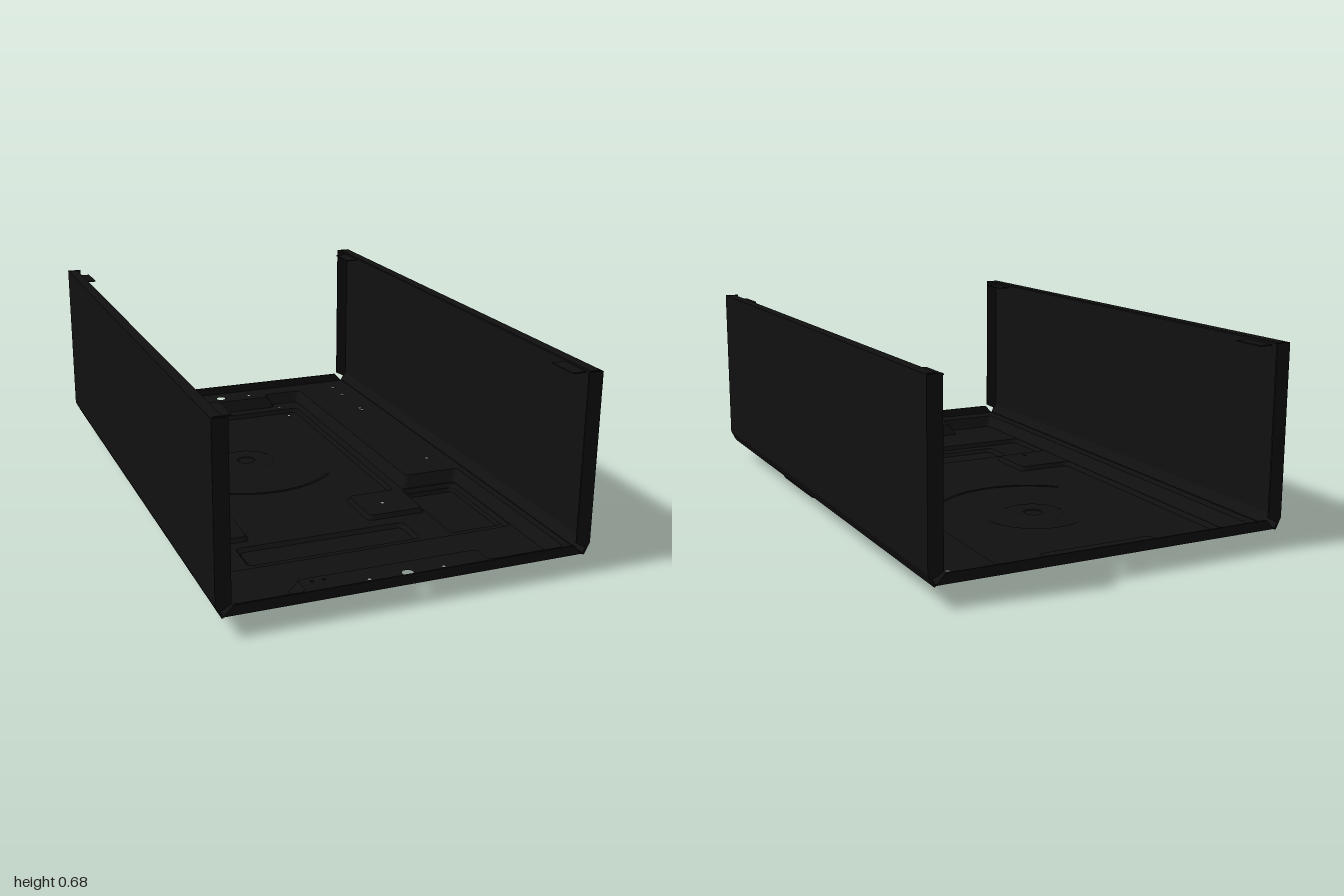
import * as THREE from 'three';

const black = new THREE.MeshStandardMaterial({ color: 0x101010, side: THREE.DoubleSide });
black.name = 'blackSheetMetal';

export function createModel() {
  const model = new THREE.Group();
  model.name = 'chassisTray';

  const add = (geometry, name, parent = model) => {
    const mesh = new THREE.Mesh(geometry, black);
    mesh.name = name;
    parent.add(mesh);
    return mesh;
  };
  const box = (name, parent, x0, x1, y0, y1, z0, z1) =>
    add(new THREE.BoxGeometry(x1 - x0, y1 - y0, z1 - z0), name, parent)
      .position.set((x0 + x1) / 2, (y0 + y1) / 2, (z0 + z1) / 2);

  // Outlines are functions of an inset, so a pressed step can taper.
  // Right-angled polygon with rounded corners, in (x, z)
  const polygon = (points, r) => (inset) => {
    const n = points.length;
    const p = points.map((q) => new THREE.Vector2(...q));
    const dir = p.map((q, i) => p[(i + 1) % n].clone().sub(q).normalize());
    const moved = p.map((q, i) => {
      const a = dir[(i + n - 1) % n], b = dir[i];
      return new THREE.Vector2(q.x - (a.y + b.y) * inset, q.y + (a.x + b.x) * inset);
    });
    return moved.flatMap((q, i) => {
      const start = q.clone().addScaledVector(dir[(i + n - 1) % n], -r);
      const end = q.clone().addScaledVector(dir[i], r);
      return new THREE.QuadraticBezierCurve(start, q, end).getPoints(4);
    });
  };
  const rect = (x0, x1, z0, z1, r) => polygon([[x0, z0], [x1, z0], [x1, z1], [x0, z1]], r);
  const circle = (x, z, radius, n = 48) => (inset) => Array.from({ length: n }, (_, i) => {
    const a = (i / n) * Math.PI * 2;
    return new THREE.Vector2(x + Math.cos(a) * (radius - inset), z + Math.sin(a) * (radius - inset));
  });
  const hole = ([x, z, r = 0.006]) => circle(x, z, r, 16)(0);

  // Flat sheet with cut-outs, at height y
  const sheet = (name, outline, y, cutouts) => {
    const shape = new THREE.Shape(outline);
    shape.holes = cutouts.map((c) => new THREE.Path(c));
    const g = new THREE.ShapeGeometry(shape);
    g.rotateX(Math.PI / 2).translate(0, y, 0);
    // Turn the faces upward
    const index = g.index.array;
    for (let i = 0; i < index.length; i += 3) [index[i], index[i + 1]] = [index[i + 1], index[i]];
    g.computeVertexNormals();
    add(g, name);
  };

  // Sloped band joining two matching outlines
  const skirt = (name, top, yTop, bottom, yBottom) => {
    const n = top.length, pos = [], index = [];
    for (let i = 0; i <= n; i++) {
      const a = top[i % n], b = bottom[i % n];
      pos.push(a.x, yTop, a.y, b.x, yBottom, b.y);
      if (i < n) index.push(2 * i, 2 * i + 2, 2 * i + 1, 2 * i + 1, 2 * i + 2, 2 * i + 3);
    }
    const g = new THREE.BufferGeometry();
    g.setAttribute('position', new THREE.Float32BufferAttribute(pos, 3));
    g.setIndex(index);
    g.computeVertexNormals();
    add(g, name);
  };

  // Pressed step: sloped band, flat bottom, and any deeper steps inside it
  const press = (step, yTop) => {
    const { name, outline, y, slope, inner = [], holes = [] } = step;
    const bottom = outline(slope);
    skirt(name + 'Edge', outline(0), yTop, bottom, y);
    sheet(name, bottom, y, [...inner.map((s) => s.outline(0)), ...holes.map(hole)]);
    inner.forEach((s) => press(s, y));
  };

  // Floor: rim, pan, and nested recesses
  const rimY = 0.073;
  const fanRecess = {
    name: 'outerRing', outline: circle(-0.09, -0.32, 0.19), y: 0.012, slope: 0.006,
    inner: [{
      name: 'innerRing', outline: circle(-0.09, -0.32, 0.11), y: 0.015, slope: 0.006,
      inner: [{ name: 'ringCentre', outline: circle(-0.09, -0.32, 0.035), y: 0.012, slope: 0.004 }],
    }],
  };
  const lower = {
    name: 'lowerPan', y: 0.014, slope: 0.008,
    outline: polygon([
      [-0.54, -0.81], [0.31, -0.81], [0.31, 0.2], [0.13, 0.2], [0.13, 0.39], [0.335, 0.39],
      [0.335, 0.215], [0.552, 0.215], [0.552, 0.64], [-0.54, 0.64],
      [-0.54, 0.4], [-0.33, 0.4], [-0.33, 0.2], [-0.54, 0.2]], 0.022),
    holes: [[-0.5, -0.77], [0.26, -0.77]],
    inner: [
      fanRecess,
      { name: 'frontRecess', outline: rect(-0.39, 0.23, 0.45, 0.59, 0.02), y: 0.001, slope: 0.012 },
      { name: 'sideRecess', outline: rect(0.347, 0.543, 0.226, 0.59, 0.02), y: 0.001, slope: 0.006 },
    ],
  };
  const pan = {
    name: 'pan', y: 0.03, slope: 0.022,
    outline: polygon([
      [-0.565, -0.915], [-0.2, -0.915], [-0.2, -0.88], [0.2, -0.88], [0.2, -0.915], [0.365, -0.915],
      [0.365, 0.187], [0.577, 0.187], [0.577, 0.93], [0.3, 0.93], [0.3, 0.85], [-0.32, 0.85],
      [-0.32, 0.93], [-0.565, 0.93]], 0.016),
    holes: [[-0.46, -0.84], [0.24, -0.84], [-0.43, 0.36], [0.22, 0.3]],
    inner: [lower],
  };
  const rimHoles = [
    [-0.13, -0.93], [0, -0.93, 0.019], [0.13, -0.93],
    [-0.11, 0.925], [0.02, 0.925, 0.019], [0.145, 0.925], [-0.28, 0.875], [-0.24, 0.875],
    [0.52, -0.9], [0.52, -0.79], [0.52, -0.595], [0.52, -0.57], [0.52, 0.05]];
  sheet('floorRim', rect(-0.606, 0.606, -1, 1, 0.001)(0), rimY,
    [pan.outline(0), ...rimHoles.map(hole)]);
  press(pan, rimY);

  // Shallow bead curving around the rings
  const bead = add(new THREE.TorusGeometry(0.35, 0.006, 6, 32, Math.PI / 2), 'curvedBead');
  bead.geometry.rotateZ(Math.PI / 4).rotateX(Math.PI / 2).scale(1, 0.5, 1);
  bead.position.set(-0.09, 0.014, -0.32);

  // Low end lips with mitred corners
  const lip = new THREE.Shape([[-0.6, rimY], [0.6, rimY], [0.57, 0.106], [-0.57, 0.106]]
    .map((p) => new THREE.Vector2(...p)));
  for (const [name, z] of [['frontLip', 0.994], ['backLip', -1]]) {
    add(new THREE.ExtrudeGeometry(lip, { depth: 0.006, bevelEnabled: false }), name).position.z = z;
  }

  // Side walls with angled foot, top flange, end flanges and tabs
  for (const s of [1, -1]) {
    const side = new THREE.Group();
    side.name = s > 0 ? 'leftWall' : 'rightWall';
    model.add(side);
    const span = (name, a, b, ...rest) => box(name, side, Math.min(s * a, s * b), Math.max(s * a, s * b), ...rest);
    span('wallPanel', 0.622, 0.628, 0.108, 0.682, -1, 1);
    span('topFlange', 0.592, 0.628, 0.676, 0.682, -0.985, 0.985);

    const foot = new THREE.Shape([[0.604, 0.07], [0.609, 0.07], [0.628, 0.108], [0.622, 0.11], [0.603, 0.076]]
      .map(([x, y]) => new THREE.Vector2(s * x, y)));
    add(new THREE.ExtrudeGeometry(foot, { depth: 2, bevelEnabled: false }), 'wallFoot', side).position.z = -1;

    const flange = new THREE.Shape([[0.628, 0.108], [0.628, 0.682], [0.578, 0.682], [0.578, 0.112], [0.612, 0.094], [0.62, 0.094]]
      .map(([x, y]) => new THREE.Vector2(s * x, y)));
    for (const e of [1, -1]) {
      add(new THREE.ExtrudeGeometry(flange, { depth: 0.006, bevelEnabled: false }), 'endFlange', side)
        .position.z = e > 0 ? 0.994 : -1;
      span('topTab', 0.552, 0.6, 0.666, 0.67, e * 0.89 - 0.06, e * 0.89 + 0.06);
    }
  }
  return model;
}
